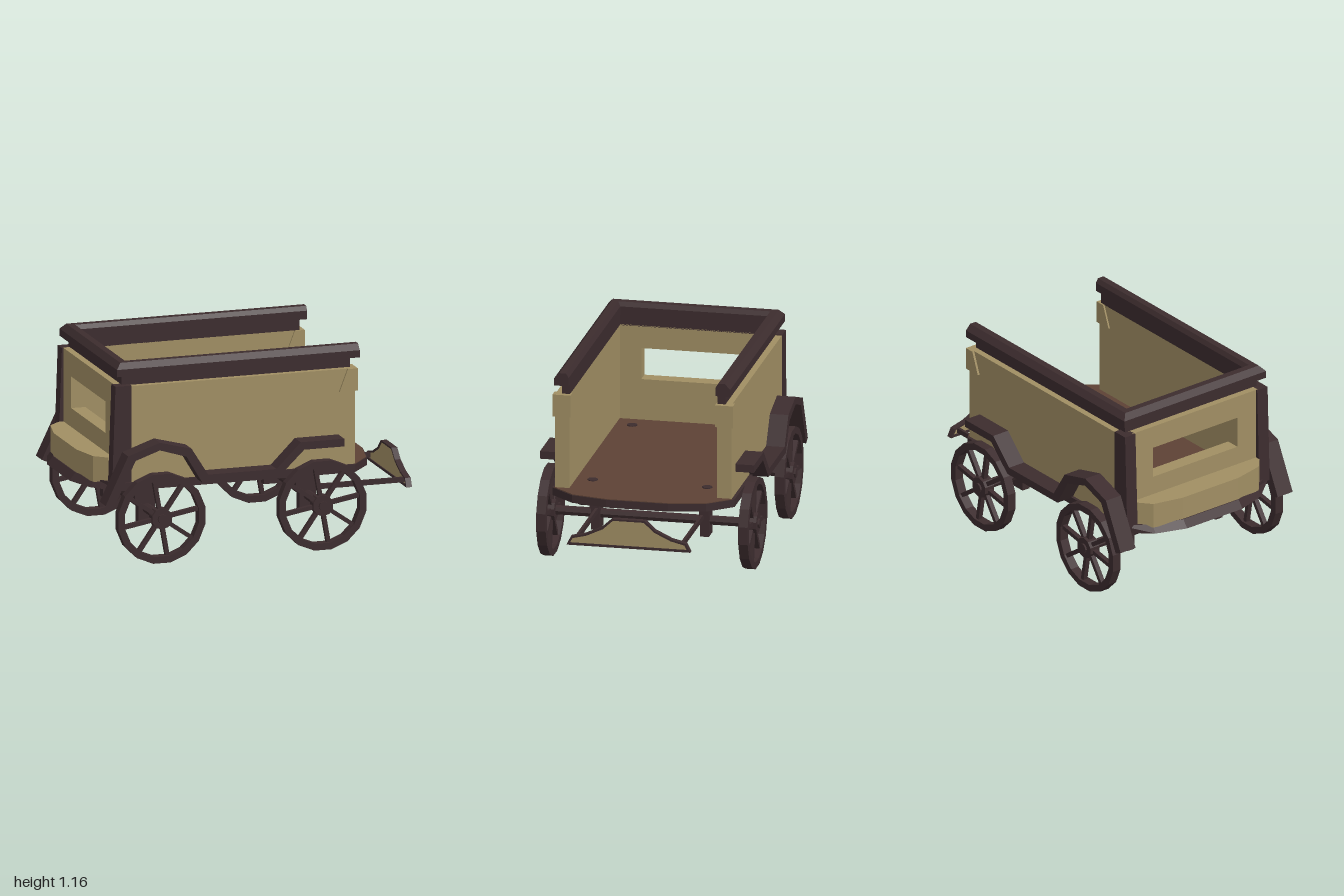
import * as THREE from 'three';

const mat = (name, color) => new THREE.MeshStandardMaterial({ name, color });

// Flat-faced copy of a geometry
function flat(g) {
  const f = g.index ? g.toNonIndexed() : g;
  f.computeVertexNormals();
  return f;
}

const shapeOf = pts => new THREE.Shape(pts.map(([x, y]) => new THREE.Vector2(x, y)));
const extrude = (shape, depth) => new THREE.ExtrudeGeometry(shape, { depth, bevelEnabled: false });

// Closed profile [inset, y] swept round a U: left side, back, right side, mitred at the back corners
function uRail(profile, xFront, xBack, half) {
  const n = profile.length, pos = [], idx = [];
  const stations = [
    o => [xFront, half - o], o => [xBack + o, half - o],
    o => [xBack + o, o - half], o => [xFront, o - half],
  ];
  for (const st of stations) for (const [o, y] of profile) {
    const [x, z] = st(o);
    pos.push(x, y, z);
  }
  for (let s = 0; s < 3; s++) for (let p = 0; p < n; p++) {
    const q = (p + 1) % n, a = s * n + p, b = s * n + q, c = b + n, d = a + n;
    idx.push(a, b, c, a, c, d);
  }
  for (let p = 1; p < n - 1; p++) idx.push(0, p + 1, p, 3 * n, 3 * n + p, 3 * n + p + 1);
  const g = new THREE.BufferGeometry();
  g.setAttribute('position', new THREE.Float32BufferAttribute(pos, 3));
  g.setIndex(idx);
  return flat(g);
}

export function createModel() {
  const root = new THREE.Group();
  root.name = 'wagon';
  const dark = mat('darkWood', 0x3c2c2e);
  const tan = mat('tanPanel', 0xa08e63);
  const brown = mat('floorBrown', 0x5d4235);

  const add = (name, geo, m, x = 0, y = 0, z = 0, parent = root) => {
    const mesh = new THREE.Mesh(geo, m);
    mesh.name = name;
    mesh.position.set(x, y, z);
    parent.add(mesh);
    return mesh;
  };
  const box = (name, m, x0, x1, y0, y1, z0, z1) =>
    add(name, new THREE.BoxGeometry(x1 - x0, y1 - y0, z1 - z0), m, (x0 + x1) / 2, (y0 + y1) / 2, (z0 + z1) / 2);
  // Symmetric plan outline [x, z] raised from y0 to y1
  const plan = (name, m, half, y0, y1, edit) => {
    const pts = [...half, ...half.slice().reverse().map(([x, z]) => [x, -z])];
    const g = extrude(shapeOf(pts), y1 - y0).rotateX(-Math.PI / 2).translate(0, y0, 0);
    if (edit) edit(g.attributes.position);
    return add(name, flat(g), m);
  };

  // Platform, its back edge sloping in toward the top
  plan('platform', dark, [[-1, 0.2], [-0.94, 0.38], [-0.81, 0.53], [0.6, 0.53], [0.72, 0.39], [0.765, 0.18]],
    0.425, 0.47, p => {
      for (let i = 0; i < p.count; i++)
        if (p.getY(i) > 0.45 && p.getX(i) < -0.9) p.setX(i, p.getX(i) + 0.035);
    });
  plan('floorBoards', brown, [[-0.735, 0.43], [0.605, 0.43], [0.605, 0.52], [0.715, 0.388], [0.76, 0.178]], 0.469, 0.474);

  // Rear ledge
  plan('rearLedge', tan, [[-0.96, 0.2], [-0.92, 0.38], [-0.85, 0.44], [-0.8, 0.44]], 0.455, 0.605);

  // Back wall with a window
  const wall = shapeOf([[-0.45, 0.46], [0.45, 0.46], [0.45, 1.035], [-0.45, 1.035]]);
  wall.holes.push(shapeOf([[-0.305, 0.715], [-0.305, 0.9], [0.305, 0.9], [0.305, 0.715]]));
  add('backWall', extrude(wall, 0.085).rotateY(-Math.PI / 2), tan, -0.735);

  // Top rail in two steps
  add('railBase', uRail([[0, 1.028], [0, 1.095], [0.045, 1.095], [0.045, 1.028]], 0.59, -0.78, 0.475), dark);
  add('railCap', uRail([[0, 1.09], [0, 1.132], [0.03, 1.165], [0.07, 1.165], [0.085, 1.14], [0.085, 1.09]],
    0.635, -0.82, 0.512), dark);

  // Mudguard silhouette
  const guard = shapeOf([
    [-0.925, 0.37], [-0.79, 0.65], [-0.6, 0.715], [-0.41, 0.665], [-0.31, 0.505], [0.1, 0.505], [0.245, 0.65], [0.505, 0.65],
    [0.505, 0.605], [0.265, 0.605], [0.115, 0.46], [-0.345, 0.46], [-0.44, 0.62], [-0.6, 0.67], [-0.745, 0.62], [-0.88, 0.35],
  ]);
  const post = shapeOf([[-0.85, 0.45], [-0.735, 0.45], [-0.735, 1.035], [-0.83, 1.035]]);
  const bracket = shapeOf([[0.51, 0.9], [0.62, 0.9], [0.62, 1.03], [0.56, 1.03]]);

  // Parts mirrored left and right
  for (const s of [1, -1]) {
    const side = s > 0 ? 'left' : 'right';
    const zs = (a, b) => (s > 0 ? [a, b] : [-b, -a]);
    const slab = (name, shape, m, a, b) => add(side + name, extrude(shape, b - a), m, 0, 0, zs(a, b)[0]);
    box(side + 'Wall', tan, -0.74, 0.605, 0.468, 1.03, ...zs(0.43, 0.512));
    slab('BackPost', post, dark, 0.44, 0.515);
    slab('FrontBracket', bracket, tan, 0.42, 0.525);
    slab('Mudguard', guard, dark, 0.514, 0.622);
    box(side + 'DrawRod', dark, 0.38, 0.975, 0.285, 0.315, ...zs(0.298, 0.314));
    for (const x of [-0.585, 0.38]) {
      box(side + 'AxleBlock', dark, x - 0.07, x + 0.07, 0.31, 0.426, ...zs(0.29, 0.345));
      box(side + 'AxleClamp', dark, x - 0.05, x + 0.05, 0.18, 0.31, ...zs(0.292, 0.343));
    }
    for (const x of [-0.62, 0.425])
      add(side + 'FloorBolt', flat(new THREE.CylinderGeometry(0.03, 0.03, 0.008, 10)), dark, x, 0.475, s * 0.333);
  }

  // Wheel parts
  const ring = (r, sides) => Array.from({ length: sides }, (_, i) => {
    const a = (i + 0.5) / sides * Math.PI * 2;
    return [r * Math.cos(a), r * Math.sin(a)];
  });
  const rimShape = shapeOf(ring(0.265, 16));
  rimShape.holes.push(shapeOf(ring(0.225, 16)));
  const rim = extrude(rimShape, 0.055).translate(0, 0, -0.0275);
  const spoke = new THREE.BoxGeometry(0.2, 0.024, 0.028).translate(0.135, 0, 0);
  const hub = flat(new THREE.CylinderGeometry(0.062, 0.062, 0.065, 10).rotateX(Math.PI / 2));
  const axle = flat(new THREE.CylinderGeometry(0.028, 0.028, 1.262, 8).rotateX(Math.PI / 2));

  for (const [end, x] of [['rear', -0.585], ['front', 0.38]]) {
    add(end + 'Axle', axle, dark, x, 0.267, 0);
    for (const s of [1, -1]) {
      const wheel = new THREE.Group();
      wheel.name = end + (s > 0 ? 'Left' : 'Right') + 'Wheel';
      wheel.position.set(x, 0.267, s * 0.5875);
      root.add(wheel);
      add('rim', rim, dark, 0, 0, 0, wheel);
      add('hub', hub, dark, 0, 0, 0, wheel);
      for (let i = 0; i < 8; i++)
        add('spoke', spoke, dark, 0, 0, 0, wheel).rotation.z = (10 + i * 45) * Math.PI / 180;
    }
  }

  // Footboard with a dark edge
  const mirror = h => [...h, ...h.slice().reverse().map(([z, y]) => [-z, y])];
  const outer = mirror([[0.36, 0.265], [0.335, 0.315], [0.25, 0.335], [0.155, 0.38], [0.095, 0.435]]);
  const inner = mirror([[0.34, 0.279], [0.325, 0.306], [0.246, 0.325], [0.148, 0.371], [0.09, 0.425]]);
  const edge = shapeOf(outer);
  edge.holes.push(shapeOf(inner));
  add('footboardEdge', extrude(edge, 0.035).rotateY(-Math.PI / 2), dark, 1);
  add('footboardPanel', extrude(shapeOf(inner), 0.023).rotateY(-Math.PI / 2), tan, 0.994);

  return root;
}
